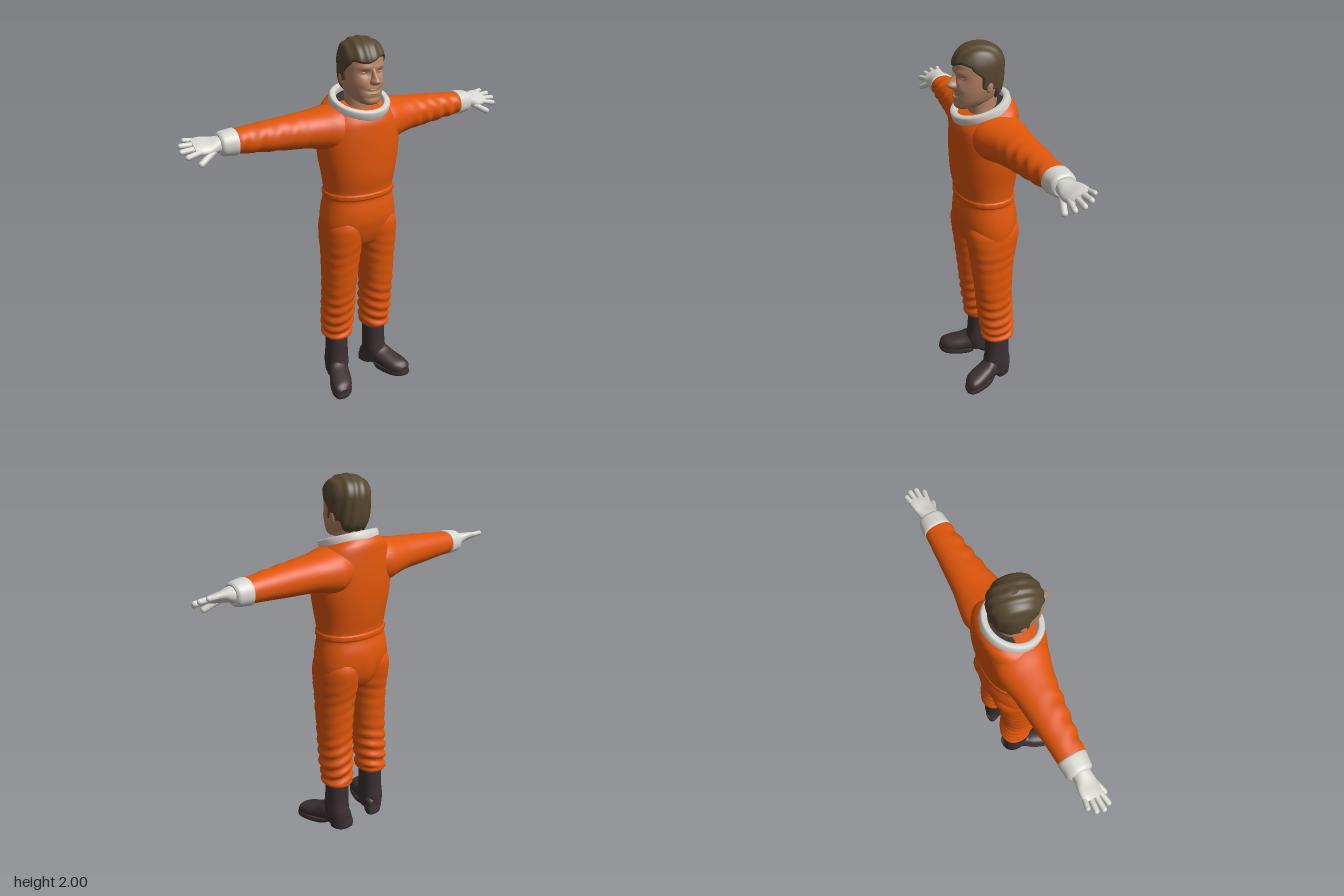
import * as THREE from 'three';

const flat = (name, color) => Object.assign(new THREE.MeshStandardMaterial({ color }), { name });
const { sin, cos, exp, sign, abs, pow, PI } = Math;
const step = THREE.MathUtils.smoothstep;
const bump = (d, w) => exp(-(d * d) / (w * w));

// Axis orders that keep the winding outward: (a, t, b) -> world
const UP = (a, t, b) => new THREE.Vector3(a, t, b);
const SIDE = (a, t, b) => new THREE.Vector3(t, b, a);
const FORWARD = (a, t, b) => new THREE.Vector3(b, a, t);

// Smooth skin through sections [t, aMin, aMax, bMin, bMax], then an optional vertex rule
function loft(sections, { map = UP, warp, n = 40, sub = 5, power = 2.2 } = {}) {
  const rings = [];
  const at = i => sections[Math.min(Math.max(i, 0), sections.length - 1)];
  for (let i = 0; i < sections.length - 1; i++)
    for (let s = 0; s < sub; s++) {
      const u = s / sub;
      rings.push(at(i).map((p1, k) => {
        const p0 = at(i - 1)[k], p2 = at(i + 1)[k], p3 = at(i + 2)[k];
        return p1 + 0.5 * u * (p2 - p0 + u * (2 * p0 - 5 * p1 + 4 * p2 - p3 + u * (3 * (p1 - p2) + p3 - p0)));
      }));
    }
  rings.push(at(sections.length - 1));
  const pos = [], idx = [];
  const addPoint = (a, t, b) => {
    const v = map(a, t, b);
    if (warp) warp(v);
    pos.push(v.x, v.y, v.z);
  };
  const addRing = ([t, a0, a1, b0, b1]) => {
    for (let j = 0; j < n; j++) {
      const c = cos(j / n * 2 * PI), s = sin(j / n * 2 * PI);
      addPoint((a0 + a1) / 2 + (a1 - a0) / 2 * sign(c) * pow(abs(c), 2 / power), t,
        (b0 + b1) / 2 + (b1 - b0) / 2 * sign(s) * pow(abs(s), 2 / power));
    }
  };
  rings.forEach(addRing);
  for (let i = 0; i < rings.length - 1; i++)
    for (let j = 0; j < n; j++) {
      const p = i * n + j, q = i * n + (j + 1) % n;
      idx.push(p, p + n, q, q, p + n, q + n);
    }
  // end caps with their own vertices
  [rings[0], rings[rings.length - 1]].forEach((r, end) => {
    const base = pos.length / 3;
    addRing(r);
    addPoint((r[1] + r[2]) / 2, r[0], (r[3] + r[4]) / 2);
    for (let j = 0; j < n; j++) {
      const p = base + j, q = base + (j + 1) % n;
      idx.push(base + n, ...(end ? [q, p] : [p, q]));
    }
  });
  const g = new THREE.BufferGeometry();
  g.setAttribute('position', new THREE.Float32BufferAttribute(pos, 3));
  g.setIndex(idx);
  g.computeVertexNormals();
  return g;
}

const ball = (x, y, z, rx, ry, rz) => new THREE.SphereGeometry(1, 20, 14).scale(rx, ry, rz).translate(x, y, z);

function finger(from, to, r) {
  const a = new THREE.Vector3(...from), b = new THREE.Vector3(...to), d = b.clone().sub(a);
  const q = new THREE.Quaternion().setFromUnitVectors(new THREE.Vector3(0, 1, 0), d.clone().normalize());
  const m = a.add(b).multiplyScalar(0.5);
  return new THREE.CapsuleGeometry(r, d.length(), 6, 12).applyQuaternion(q).translate(m.x, m.y, m.z);
}

function mirrored(geo) {
  const g = geo.clone().scale(-1, 1, 1), i = g.index.array;
  for (let k = 0; k < i.length; k += 3) [i[k], i[k + 1]] = [i[k + 1], i[k]];
  return g;
}

export function createModel() {
  const model = new THREE.Group();
  const suit = flat('orange suit', 0xe0560a), white = flat('glove white', 0xd6d4ce);
  const boot = flat('boot dark', 0x3a3032), skin = flat('skin', 0xb58466);
  const hairMat = flat('hair brown', 0x56472f);
  const add = (name, geo, mat) => {
    const m = new THREE.Mesh(geo, mat);
    m.name = name;
    model.add(m);
  };
  const pair = (name, geo, mat) => {
    add(name + 'Left', geo, mat);
    add(name + 'Right', mirrored(geo), mat);
  };

  // Torso with gathered waist, top sloping down to the front
  add('torso', loft([
    [0.86, -0.05, 0.05, -0.09, 0.05], [0.9, -0.15, 0.15, -0.13, 0.09], [0.95, -0.208, 0.208, -0.158, 0.115],
    [1.0, -0.216, 0.216, -0.173, 0.13], [1.05, -0.215, 0.215, -0.18, 0.14], [1.11, -0.206, 0.206, -0.177, 0.139],
    [1.165, -0.196, 0.196, -0.163, 0.131], [1.18, -0.201, 0.201, -0.167, 0.137], [1.2, -0.2, 0.2, -0.167, 0.138],
    [1.215, -0.194, 0.194, -0.162, 0.134], [1.3, -0.205, 0.205, -0.175, 0.15], [1.4, -0.222, 0.222, -0.185, 0.154],
    [1.5, -0.226, 0.226, -0.186, 0.153], [1.58, -0.215, 0.215, -0.18, 0.15], [1.63, -0.19, 0.19, -0.172, 0.146],
    [1.665, -0.15, 0.15, -0.15, 0.132],
  ], { n: 72, warp: v => {
    const a = Math.atan2(v.z, v.x), k = 1 + 0.008 * sin(a * 26) * bump(v.y - 1.19, 0.03);
    v.x *= k; v.z *= k;
    v.z -= 0.014 * bump(v.x, 0.03) * step(-v.z, 0, 0.1) * bump(v.y - 0.93, 0.1);
    v.y -= 0.3 * step(v.y, 1.45, 1.66) * v.z;
  } }), suit);

  // Sleeves
  pair('sleeve', loft([
    [0.08, -0.16, 0.11, 1.45, 1.668], [0.16, -0.176, 0.11, 1.43, 1.664], [0.24, -0.166, 0.085, 1.45, 1.65],
    [0.32, -0.152, 0.065, 1.464, 1.642], [0.45, -0.142, 0.042, 1.474, 1.632], [0.58, -0.133, 0.022, 1.486, 1.62],
    [0.66, -0.128, 0.01, 1.493, 1.612], [0.675, -0.122, 0.004, 1.5, 1.606],
  ], { map: SIDE, sub: 10, warp: v => {
    const w = 0.005 * step(v.x, 0.25, 0.45) * step(v.z, -0.12, 0.05);
    v.z += w * sin(v.x * 75 + v.y * 30);
    v.y += w * 0.5 * sin(v.x * 60 + v.z * 40);
  } }), suit);

  // Trouser legs, creased towards the ankle
  pair('trouserLeg', loft([
    [0.285, 0.06, 0.195, -0.125, 0.03], [0.305, 0.045, 0.213, -0.141, 0.048], [0.34, 0.045, 0.207, -0.134, 0.045],
    [0.4, 0.04, 0.212, -0.135, 0.056], [0.5, 0.035, 0.213, -0.13, 0.068], [0.6, 0.03, 0.215, -0.126, 0.08],
    [0.8, 0.014, 0.215, -0.136, 0.103], [0.9, 0.002, 0.218, -0.154, 0.117], [1.0, 0, 0.212, -0.168, 0.126],
    [1.06, 0.03, 0.18, -0.15, 0.11],
  ], { sub: 9, warp: v => {
    const w = 0.006 * (1 - step(v.y, 0.4, 0.7)) * step(v.y, 0.3, 0.34) + 0.002 * bump(v.y - 0.75, 0.15);
    const f = sin(v.y * 95 + v.x * 28 + v.z * 14);
    v.x += w * f * sign(v.x - 0.126) * step(abs(v.x - 0.126), 0, 0.08);
    v.z += w * f * sign(v.z + 0.04) * step(abs(v.z + 0.04), 0, 0.08);
  } }), suit);

  // Boots: shaft, foot, sole and heel, toes turned out
  const turnOut = v => { v.x += 0.34 * (v.z + 0.05); };
  pair('bootShaft', loft([
    [0.03, 0.072, 0.188, -0.122, 0.02], [0.1, 0.066, 0.196, -0.125, 0.035], [0.16, 0.066, 0.193, -0.117, 0.026],
    [0.22, 0.066, 0.19, -0.116, 0.022], [0.31, 0.068, 0.188, -0.117, 0.02],
  ]), boot);
  pair('bootFoot', loft([
    [-0.115, 0.02, 0.09, 0.095, 0.165], [-0.08, 0.015, 0.13, 0.075, 0.185], [0, 0.015, 0.14, 0.07, 0.188],
    [0.05, 0.012, 0.115, 0.066, 0.194], [0.11, 0.01, 0.096, 0.066, 0.196], [0.155, 0.01, 0.08, 0.078, 0.184],
    [0.178, 0.015, 0.055, 0.105, 0.157],
  ], { map: FORWARD, warp: turnOut }), boot);
  pair('bootSole', loft([
    [0, 0.07, 0.193, -0.01, 0.183], [0.012, 0.065, 0.197, -0.015, 0.187], [0.03, 0.067, 0.195, -0.03, 0.184],
  ], { warp: turnOut, power: 2.5 }), boot);
  pair('bootHeel', loft([
    [0, 0.08, 0.184, -0.128, -0.035], [0.02, 0.077, 0.187, -0.13, -0.03], [0.045, 0.078, 0.186, -0.128, -0.02],
  ], { warp: turnOut, power: 2.6 }), boot);

  // Gloves: flared cuff, palm tilted down to the front, fingers and thumb
  pair('gloveCuff', loft([
    [0.665, -0.124, 0.006, 1.492, 1.612], [0.672, -0.132, 0.012, 1.486, 1.618], [0.71, -0.129, 0.008, 1.489, 1.615],
    [0.74, -0.125, 0.004, 1.494, 1.61], [0.752, -0.112, -0.008, 1.505, 1.6],
  ], { map: SIDE }), white);
  pair('glovePalm', loft([
    [0.735, -0.105, -0.015, 1.51, 1.595], [0.77, -0.106, -0.012, 1.52, 1.59], [0.81, -0.115, -0.008, 1.528, 1.582],
    [0.85, -0.119, -0.012, 1.533, 1.578], [0.875, -0.112, -0.02, 1.54, 1.572],
  ], { map: SIDE, warp: v => { v.y -= 0.4 * (v.z + 0.06) * step(v.x, 0.74, 0.82); } }), white);
  [
    [[0.79, 1.53, -0.025], [0.862, 1.49, 0.002], 0.016],
    [[0.85, 1.54, -0.026], [0.918, 1.528, -0.014], 0.014],
    [[0.85, 1.552, -0.052], [0.934, 1.547, -0.05], 0.0145],
    [[0.85, 1.564, -0.079], [0.927, 1.565, -0.086], 0.014],
    [[0.84, 1.574, -0.103], [0.9, 1.58, -0.116], 0.0125],
  ].forEach(([a, b, r], i) => pair(i ? 'gloveFinger' + i : 'gloveThumb', finger(a, b, r), white));

  // Tilted neck ring and its dark lining
  const profile = [[0.125, -0.02], [0.132, -0.027], [0.152, -0.027], [0.16, -0.018], [0.16, 0.018],
    [0.152, 0.026], [0.132, 0.026], [0.125, 0.019], [0.125, -0.02]].map(p => new THREE.Vector2(...p));
  const seat = g => g.scale(1, 1, 0.98).rotateX(0.33).translate(0, 1.672, 0);
  add('neckRing', seat(new THREE.LatheGeometry(profile, 64)), white);
  add('collarLining', seat(new THREE.CylinderGeometry(0.13, 0.13, 0.012, 48).translate(0, -0.014, 0)), boot);

  // Neck and sculpted head
  add('neck', loft([
    [1.6, -0.08, 0.08, -0.085, 0.06], [1.68, -0.072, 0.072, -0.08, 0.062], [1.78, -0.075, 0.075, -0.085, 0.07],
  ]), skin);
  const skull = [
    [1.678, -0.025, 0.025, 0.07, 0.122], [1.69, -0.052, 0.052, 0.01, 0.14], [1.72, -0.078, 0.078, -0.06, 0.145],
    [1.76, -0.094, 0.094, -0.09, 0.143], [1.8, -0.101, 0.101, -0.1, 0.14], [1.86, -0.104, 0.104, -0.104, 0.138],
    [1.91, -0.103, 0.103, -0.104, 0.132], [1.95, -0.087, 0.087, -0.086, 0.108], [1.975, -0.06, 0.06, -0.055, 0.075],
    [1.988, -0.02, 0.02, -0.015, 0.03],
  ];
  add('head', loft(skull, { n: 96, sub: 8, warp: v => {
    const x = abs(v.x), y = v.y;
    if (v.z < 0.04) return;
    v.z += -0.014 * bump(x - 0.042, 0.024) * bump(y - 1.84, 0.016)
      + 0.006 * bump(x - 0.04, 0.035) * bump(y - 1.868, 0.012)
      + 0.007 * bump(x - 0.055, 0.025) * bump(y - 1.79, 0.025)
      - 0.009 * bump(x, 0.04) * bump(y - 1.748 - 5 * x * x, 0.007)
      - 0.005 * bump(x, 0.05) * bump(y - 1.718, 0.01);
  } }), skin);
  add('nose', loft([
    [1.783, -0.014, 0.014, 0.11, 0.153], [1.79, -0.023, 0.023, 0.11, 0.172], [1.803, -0.024, 0.024, 0.11, 0.184],
    [1.82, -0.015, 0.015, 0.11, 0.173], [1.845, -0.011, 0.011, 0.11, 0.152], [1.868, -0.012, 0.012, 0.11, 0.137],
  ], { n: 24, power: 2 }), skin);
  pair('eyelid', ball(0.042, 1.841, 0.108, 0.019, 0.009, 0.014), skin);
  pair('ear', ball(0.106, 1.805, -0.005, 0.011, 0.033, 0.02).rotateY(-0.06), skin);
  [[1.757, 0.0045], [1.738, 0.0055]].forEach(([y, r], i) => {
    const lip = [-0.04, -0.02, 0, 0.02, 0.04].map(x =>
      new THREE.Vector3(x, y + x * x * (i ? 8 : 3), 0.142 - x * x * 13));
    add(i ? 'lowerLip' : 'upperLip', new THREE.TubeGeometry(new THREE.CatmullRomCurve3(lip), 16, r, 8), skin);
  });

  // Hair: a shell over the skull that sinks beneath the face past the hairline
  add('hair', loft(skull.slice(2), { n: 120, sub: 12, warp: v => {
    const y = v.y, fringe = 1.902 + 0.014 * sin(v.x * 34 - 0.6) - 1.6 * v.x * v.x;
    const top = step(y, fringe - 0.005, fringe + 0.006);
    const sideLine = 0.035 - 0.075 * (1 - step(y, 1.785, 1.8)) + 0.05 * step(y, 1.84, 1.9);
    const side = (1 - step(v.z, sideLine - 0.006, sideLine + 0.008)) * step(y, 1.722, 1.735);
    const strand = 0.0022 * sin(v.x * 150 + 40 * v.z + 20 * y);
    const grow = -0.014 + (0.025 + strand) * Math.max(top, side);
    const d = new THREE.Vector3(v.x, (y - 1.86) * 0.9, v.z - 0.01).normalize();
    v.addScaledVector(d, grow);
  } }), hairMat);

  return model;
}
